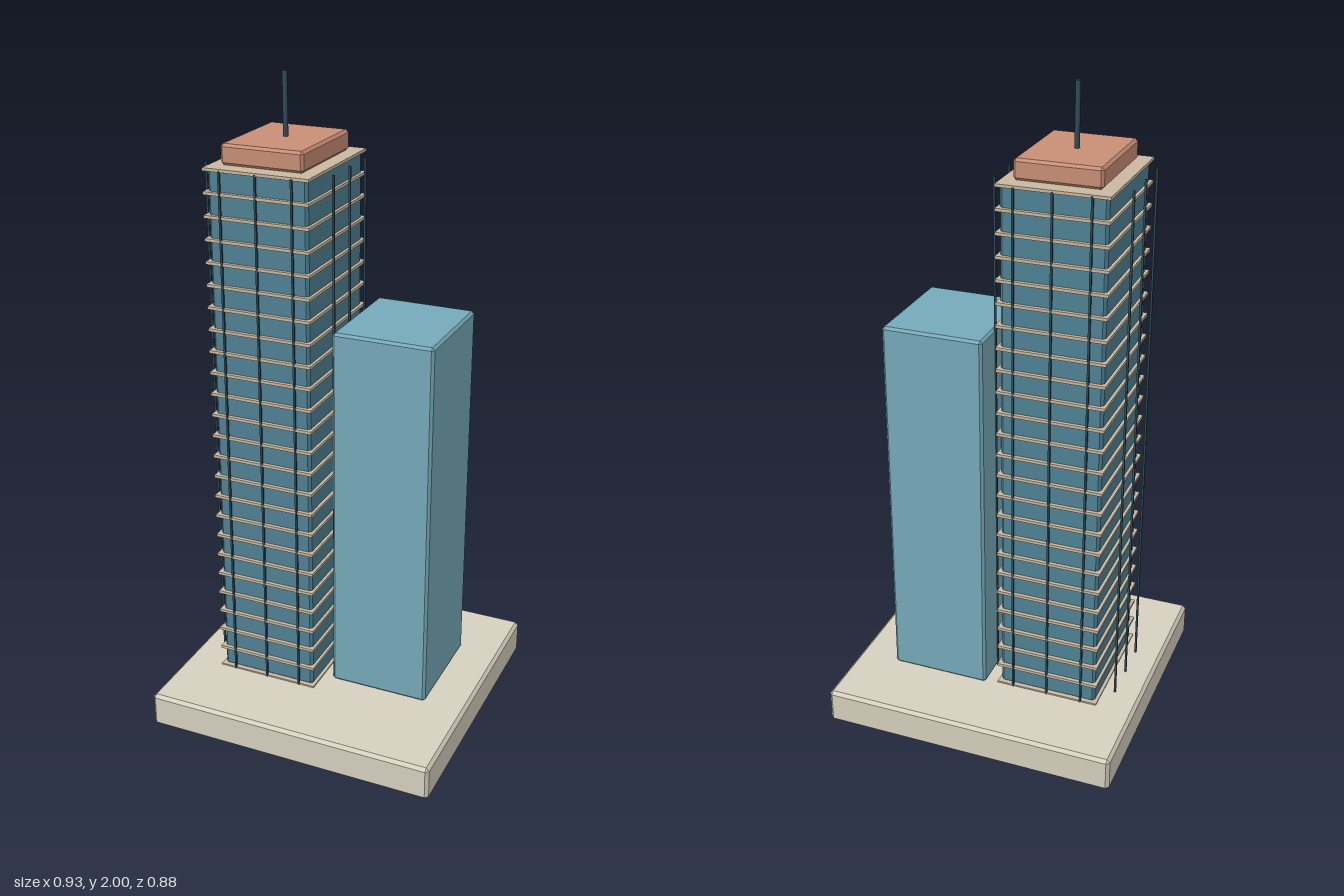
import * as THREE from 'three';
import { ConvexGeometry } from 'three/addons/geometries/ConvexGeometry.js';

const mat = (color) => new THREE.MeshStandardMaterial({ color });
const stone = mat(0xd6d0be), slabTan = mat(0xcab9a0), terracotta = mat(0xc98f76);
const glassDark = mat(0x4f8294), glassLight = mat(0x76aaba), steel = mat(0x2f4d58);

// Box with every edge cut by a flat chamfer c
function chamferBox(w, h, d, c) {
  const half = [w / 2, h / 2, d / 2], points = [];
  for (const sx of [-1, 1]) for (const sy of [-1, 1]) for (const sz of [-1, 1]) {
    const s = [sx, sy, sz];
    for (let face = 0; face < 3; face++) {
      points.push(new THREE.Vector3(...half.map((v, i) => s[i] * (i === face ? v : v - c))));
    }
  }
  return new ConvexGeometry(points);
}

export function createModel() {
  const model = new THREE.Group();
  model.name = 'twinTowers';
  const add = (name, geometry, material, x, y, z, parent = model) => {
    const mesh = new THREE.Mesh(geometry, material);
    mesh.name = name;
    mesh.position.set(x, y, z);
    parent.add(mesh);
    return mesh;
  };

  const ground = 0.111, roof = 1.748, floors = 24;
  const height = roof - ground, mid = (roof + ground) / 2;

  // Plinth under both towers
  add('plinth', chamferBox(0.926, ground, 0.876, 0.01), stone, 0, ground / 2, 0);

  // Tall tower
  const tower = new THREE.Group();
  tower.name = 'tallTower';
  tower.position.x = -0.179;
  model.add(tower);
  add('tallTowerCore', chamferBox(0.31, height, 0.376, 0.008), glassDark, 0, mid, 0, tower);

  // Floor slabs
  const slab = new THREE.BoxGeometry(0.328, 0.009, 0.4);
  for (let i = 0; i <= floors; i++) {
    add('floorSlab', slab, slabTan, 0, ground + (height * i) / floors, 0, tower);
  }

  // Vertical mullions: on the front and back faces, and free-standing at the sides
  const mullion = new THREE.BoxGeometry(0.006, height, 0.006);
  for (const side of [-1, 1]) {
    for (const offset of [-0.112, 0, 0.112]) {
      add('faceMullion', mullion, steel, offset, mid, side * 0.199, tower);
      add('sideMullion', mullion, steel, side * 0.199, mid, offset, tower);
    }
  }

  // Roof block and mast
  add('crown', chamferBox(0.257, 0.061, 0.316, 0.008), terracotta, 0, 1.784, 0, tower);
  add('mast', new THREE.CylinderGeometry(0.0075, 0.0075, 0.19, 12), steel, 0, 1.905, 0, tower);

  // Short tower and the sky bridge between them
  add('shortTower', chamferBox(0.313, 1.181, 0.348, 0.008), glassLight, 0.177, ground + 0.5905, -0.044);
  add('skyBridge', chamferBox(0.1, 0.087, 0.1, 0.005), terracotta, 0, 0.898, -0.023);

  return model;
}
